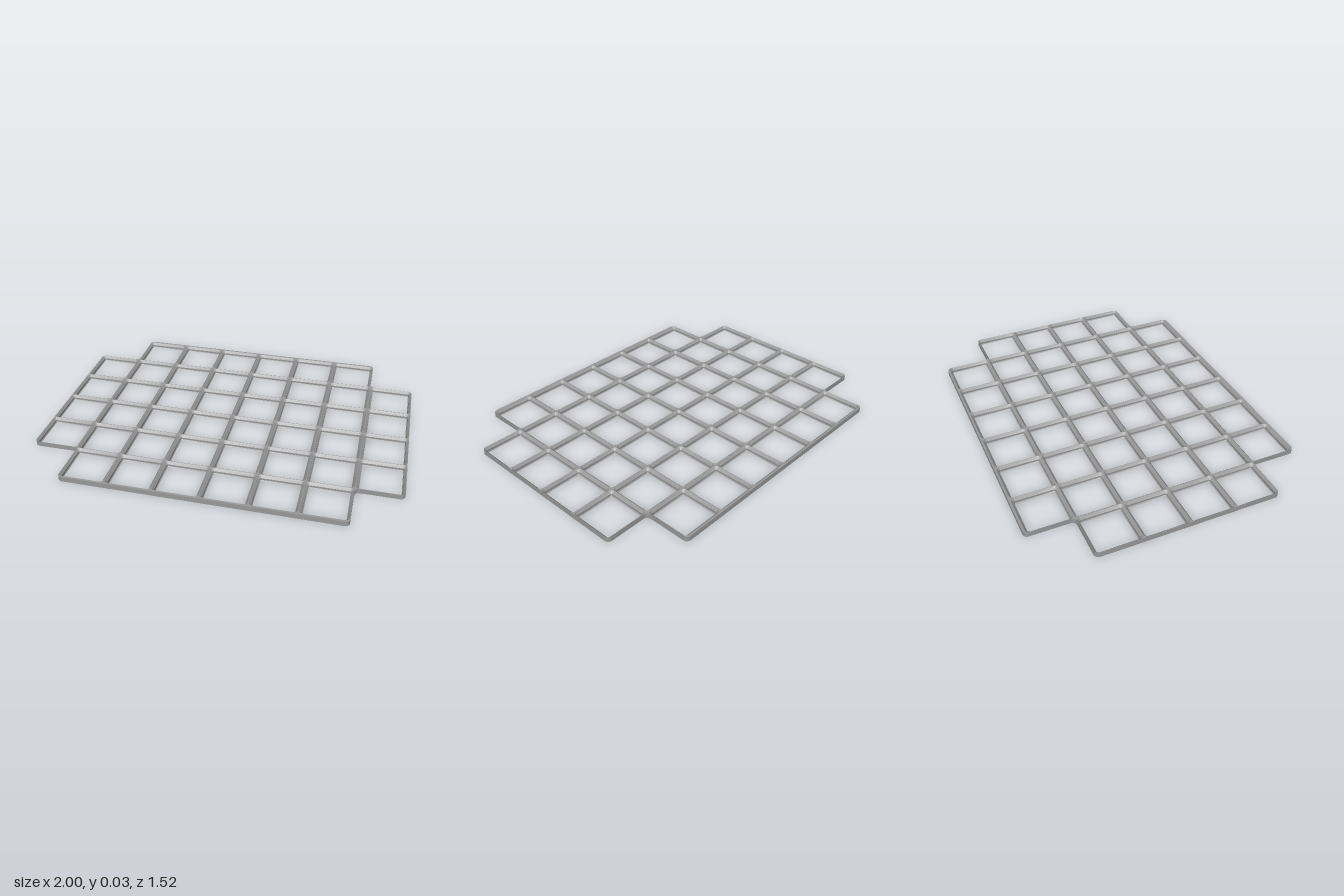
import * as THREE from 'three';
import { mergeGeometries, toCreasedNormals } from 'three/addons/utils/BufferGeometryUtils.js';

const PITCH = 0.25, HEIGHT = 0.0277, ARC = 6;

// Rounds every corner (convex or concave) of a right-angled polygon
function roundCorners(corners, r) {
  const points = [];
  corners.forEach((p, i) => {
    const n = corners.length;
    const toPrev = corners[(i + n - 1) % n].clone().sub(p).normalize();
    const toNext = corners[(i + 1) % n].clone().sub(p).normalize();
    for (let k = 0; k <= ARC; k++) {
      const t = (k / ARC) * Math.PI / 2;
      points.push(p.clone()
        .addScaledVector(toPrev, r * (1 - Math.sin(t)))
        .addScaledVector(toNext, r * (1 - Math.cos(t))));
    }
  });
  return points;
}

const polygon = (list) => list.map(([x, y]) => new THREE.Vector2(x, y));

// Rounded square cell opening
function cellLoop(cx, cy, half, r) {
  const signs = [[-1, -1], [1, -1], [1, 1], [-1, 1]];
  return roundCorners(polygon(signs.map(([a, b]) => [cx + a * half, cy + b * half])), r);
}

// Wall through a stack of matching loops
function wall(levels) {
  const pos = [];
  for (let l = 0; l + 1 < levels.length; l++) {
    const a = levels[l], b = levels[l + 1], n = a.loop.length;
    for (let i = 0; i < n; i++) {
      const j = (i + 1) % n;
      const A = [a.loop[i].x, a.loop[i].y, a.h], B = [a.loop[j].x, a.loop[j].y, a.h];
      const C = [b.loop[j].x, b.loop[j].y, b.h], D = [b.loop[i].x, b.loop[i].y, b.h];
      pos.push(...A, ...B, ...C, ...A, ...C, ...D);
    }
  }
  const g = new THREE.BufferGeometry();
  g.setAttribute('position', new THREE.Float32BufferAttribute(pos, 3));
  return toCreasedNormals(g, 0.5);
}

// Flat face with the cell openings cut out
function face(outline, holes) {
  const shape = new THREE.Shape(outline);
  shape.holes = holes.map((h) => new THREE.Path(h));
  return new THREE.ShapeGeometry(shape);
}

export function createModel() {
  const group = new THREE.Group();
  group.name = 'gridBaseplate';
  const grey = new THREE.MeshStandardMaterial({ color: 0x999999 });
  grey.name = 'grey';
  const add = (name, geometry) => {
    const mesh = new THREE.Mesh(geometry.rotateX(-Math.PI / 2), grey);
    mesh.name = name;
    group.add(mesh);
  };

  // Outline: wide middle, narrower front and back rows with a small extra margin
  const outline = roundCorners(polygon([
    [-0.75, -0.76], [0.75, -0.76], [0.75, -0.5], [1, -0.5], [1, 0.5], [0.75, 0.5],
    [0.75, 0.76], [-0.75, 0.76], [-0.75, 0.5], [-1, 0.5], [-1, -0.5], [-0.75, -0.5],
  ]), 0.024);

  // Cell profile from top to bottom: height, half width, corner radius
  const profile = [
    [HEIGHT, 0.1235, 0.0223],
    [0.0149, 0.1107, 0.0095],
    [0.0042, 0.1107, 0.0095],
    [0, 0.1065, 0.0053],
  ];

  const pockets = [], topHoles = [], bottomHoles = [];
  for (let row = 0; row < 6; row++) {
    const inset = row === 0 || row === 5 ? 1 : 0;
    for (let col = inset; col < 8 - inset; col++) {
      const cx = (col - 3.5) * PITCH, cy = (row - 2.5) * PITCH;
      const levels = profile.map(([h, half, r]) => ({ h, loop: cellLoop(cx, cy, half, r) }));
      pockets.push(wall(levels));
      topHoles.push(levels[0].loop);
      bottomHoles.push(levels[3].loop);
    }
  }

  add('cellWalls', mergeGeometries(pockets));
  add('outerWall', wall([{ h: 0, loop: outline }, { h: HEIGHT, loop: outline }]));
  add('topRidges', face(outline, topHoles).translate(0, 0, HEIGHT));
  add('underside', face(outline, bottomHoles).rotateX(Math.PI));
  return group;
}
